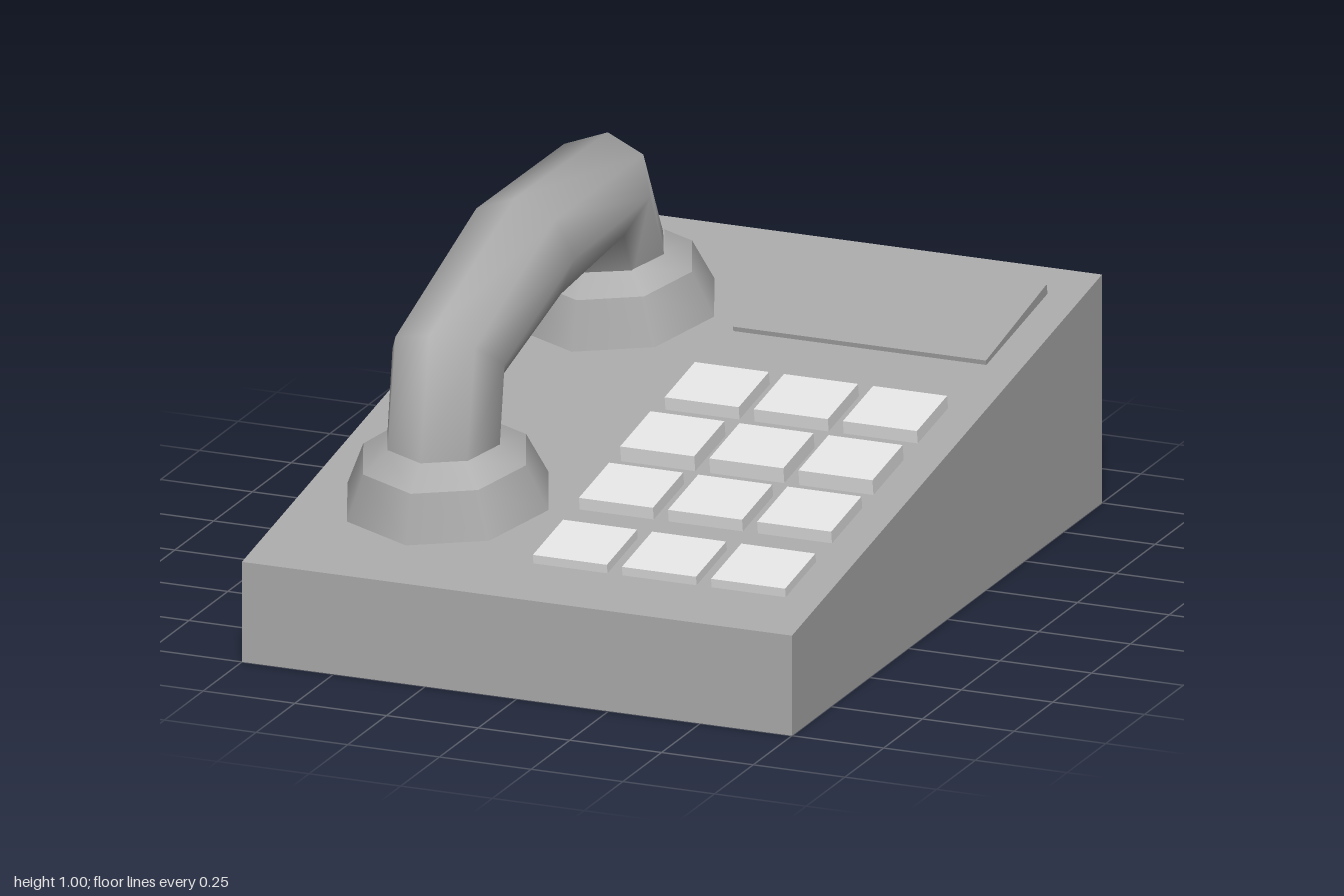
import * as THREE from 'three';

const mat = (name, color) => {
  const m = new THREE.MeshStandardMaterial({ color });
  m.name = name;
  return m;
};

// Height of the sloped top at depth z, and its tilt
const surfaceY = (z) => 0.435 - 0.17 * z;
const TILT = Math.atan(0.17);
const HANDSET_X = -0.378;
const KEY_DEPTH = 0.056;

// Swept octagonal grip: each section is [outer z, outer y, inner z, inner y]
function gripGeometry(sections, radius, sides) {
  const pos = [], idx = [];
  for (const [oz, oy, iz, iy] of sections) {
    for (let j = 0; j < sides; j++) {
      const a = (j / sides) * Math.PI * 2;
      const s = Math.sin(a) / 2;
      pos.push(
        radius * Math.cos(a),
        (oy + iy) / 2 + s * (oy - iy),
        (oz + iz) / 2 + s * (oz - iz)
      );
    }
  }
  for (let i = 0; i < sections.length - 1; i++) {
    for (let j = 0; j < sides; j++) {
      const k = (j + 1) % sides;
      const a = i * sides + j, b = i * sides + k;
      const c = a + sides, d = b + sides;
      idx.push(a, c, b, b, c, d);
    }
  }
  const g = new THREE.BufferGeometry();
  g.setAttribute('position', new THREE.Float32BufferAttribute(pos, 3));
  g.setIndex(idx);
  g.computeVertexNormals();
  return g;
}

export function createModel() {
  const model = new THREE.Group();
  model.name = 'deskPhone';
  const bodyMat = mat('bodyGrey', 0xa9a9a9);
  const keyMat = mat('keyLightGrey', 0xe4e4e4);
  const displayMat = mat('displayGrey', 0xa8a8a8);

  const add = (parent, name, geometry, material) => {
    const mesh = new THREE.Mesh(geometry, material);
    mesh.name = name;
    parent.add(mesh);
    return mesh;
  };

  // Wedge body: side profile extruded across x
  const side = new THREE.Shape([
    new THREE.Vector2(-1, 0), new THREE.Vector2(1, 0),
    new THREE.Vector2(1, surfaceY(-1)), new THREE.Vector2(-1, surfaceY(1)),
  ]);
  const wedge = new THREE.ExtrudeGeometry(side, { depth: 1.5, bevelEnabled: false });
  wedge.translate(0, 0, -0.75).rotateY(Math.PI / 2);
  add(model, 'body', wedge, bodyMat);

  // Keypad: four rows of three, each [centre z, height above the slope]
  const keypad = new THREE.Group();
  keypad.name = 'keypad';
  model.add(keypad);
  const keyGeo = new THREE.BoxGeometry(0.202, KEY_DEPTH, 0.198);
  for (const [z, rise] of [[0.715, 0.024], [0.418, 0.033], [0.152, 0.042], [-0.135, 0.035]]) {
    for (const x of [0.067, 0.31, 0.553]) {
      const key = add(keypad, 'key', keyGeo, keyMat);
      key.position.set(x, surfaceY(z) + rise - KEY_DEPTH / 2, z);
      key.rotation.x = TILT;
    }
  }

  // Display panel, tilted a little more than the slope
  const display = add(model, 'display', new THREE.BoxGeometry(0.69, 0.03, 0.4), displayMat);
  display.position.set(0.312, 0.554, -0.67);
  display.rotation.x = 0.205;

  // Handset: curved grip on two cups
  const handset = new THREE.Group();
  handset.name = 'handset';
  handset.position.x = HANDSET_X;
  model.add(handset);
  const sections = [
    [0.73, 0.48, 0.43, 0.525],
    [0.67, 0.81, 0.425, 0.625],
    [0.12, 1.005, 0.07, 0.71],
    [-0.48, 0.995, -0.30, 0.745],
    [-0.635, 0.7, -0.345, 0.65],
  ];
  add(handset, 'grip', gripGeometry(sections, 0.153, 8), bodyMat);

  // Cups: two faceted bands each, closed by discs
  const bands = [
    [[0, 0], [0.274, 0]],
    [[0.274, 0], [0.222, 0.12]],
    [[0.222, 0.12], [0.15, 0.17]],
    [[0.15, 0.17], [0, 0.17]],
  ];
  for (const [name, z, y] of [['frontCup', 0.552, 0.348], ['rearCup', -0.518, 0.531]]) {
    const cup = new THREE.Group();
    cup.name = name;
    cup.position.set(0, y, z);
    cup.rotation.x = TILT;
    handset.add(cup);
    for (const band of bands) {
      const points = band.map(([r, h]) => new THREE.Vector2(r, h));
      add(cup, 'cupBand', new THREE.LatheGeometry(points, 8), bodyMat);
    }
  }
  return model;
}
